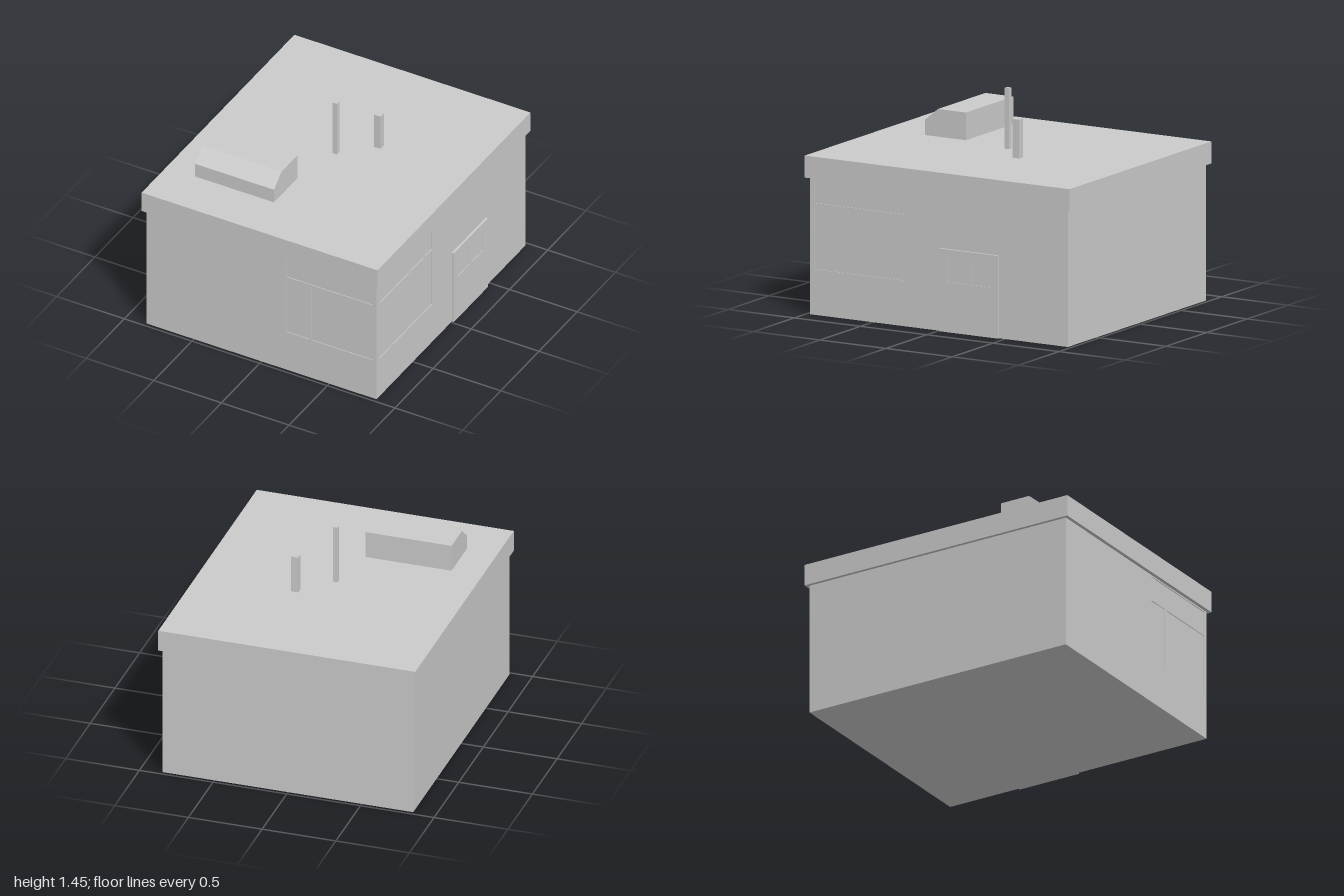
import * as THREE from 'three';

const material = new THREE.MeshStandardMaterial({ color: 0xcccccc, flatShading: true });

function add(parent, name, geometry) {
  const mesh = new THREE.Mesh(geometry, material);
  mesh.name = name;
  parent.add(mesh);
  return mesh;
}

// Box given by its min and max corners
function box(parent, name, [x0, y0, z0], [x1, y1, z1]) {
  const mesh = add(parent, name, new THREE.BoxGeometry(x1 - x0, y1 - y0, z1 - z0));
  mesh.position.set((x0 + x1) / 2, (y0 + y1) / 2, (z0 + z1) / 2);
  return mesh;
}

function trace(path, [x0, y0, x1, y1]) {
  path.moveTo(x0, y0);
  path.lineTo(x1, y0);
  path.lineTo(x1, y1);
  path.lineTo(x0, y1);
  path.closePath();
  return path;
}

// Flat panel with rectangular openings, facing +z
function panel(parent, name, outline, openings, depth) {
  const shape = trace(new THREE.Shape(), outline);
  shape.holes = openings.map((o) => trace(new THREE.Path(), o));
  return add(parent, name, new THREE.ExtrudeGeometry(shape, { depth, bevelEnabled: false }));
}

export function createModel() {
  const group = new THREE.Group();
  const W = 0.85, D = 0.975, H = 0.9, skin = 0.005;
  const base = 1.045; // roof top

  // Building core behind the thin outer walls
  box(group, 'buildingCore', [-W, 0, -D], [W - skin, H, D - skin]);

  // Front wall: shop windows with a sign band above
  const front = panel(group, 'frontWall', [-W, 0, W, H], [
    [0.185, 0.3, 0.35, 0.72],
    [0.37, 0.3, 0.82, 0.72],
    [0.185, 0.735, 0.82, 0.89],
  ], skin);
  front.position.z = D - skin;

  // Side wall (+x): its horizontal axis runs along -z
  const side = panel(group, 'sideWall', [-D + skin, 0, D, H], [
    [-0.94, 0.3, -0.25, 0.72],
    [-0.94, 0.735, -0.25, 0.89],
  ], skin);
  side.rotation.y = Math.PI / 2;
  side.position.x = W - skin;

  // Double door with two recessed panes
  const door = new THREE.Group();
  door.name = 'door';
  door.rotation.y = Math.PI / 2;
  door.position.x = W;
  group.add(door);
  box(door, 'doorSlab', [0.01, 0, 0], [0.455, 0.545, 0.01]);
  const frame = panel(door, 'doorFrame', [0.01, 0, 0.455, 0.545], [
    [0.07, 0.33, 0.21, 0.49],
    [0.255, 0.33, 0.395, 0.49],
  ], 0.005);
  frame.position.z = 0.01;

  // Overhanging roof slab
  box(group, 'roof', [-0.872, H, -1], [0.872, base, 1]);

  // Rooftop ventilation unit with a sloped front edge
  const profile = new THREE.Shape([
    [-0.675, base], [-0.365, base], [-0.365, 1.227], [-0.577, 1.227], [-0.675, 1.145],
  ].map(([a, y]) => new THREE.Vector2(a, y)));
  const unit = add(group, 'ventilationUnit',
    new THREE.ExtrudeGeometry(profile, { depth: 0.585, bevelEnabled: false }));
  unit.rotation.y = Math.PI / 2;
  unit.position.x = -0.662;

  // Square roof pipes
  box(group, 'tallPipe', [-0.016, base, -0.016], [0.016, 1.445, 0.016]);
  box(group, 'shortPipe', [0.182, base, -0.225], [0.229, 1.3, -0.175]);

  return group;
}
